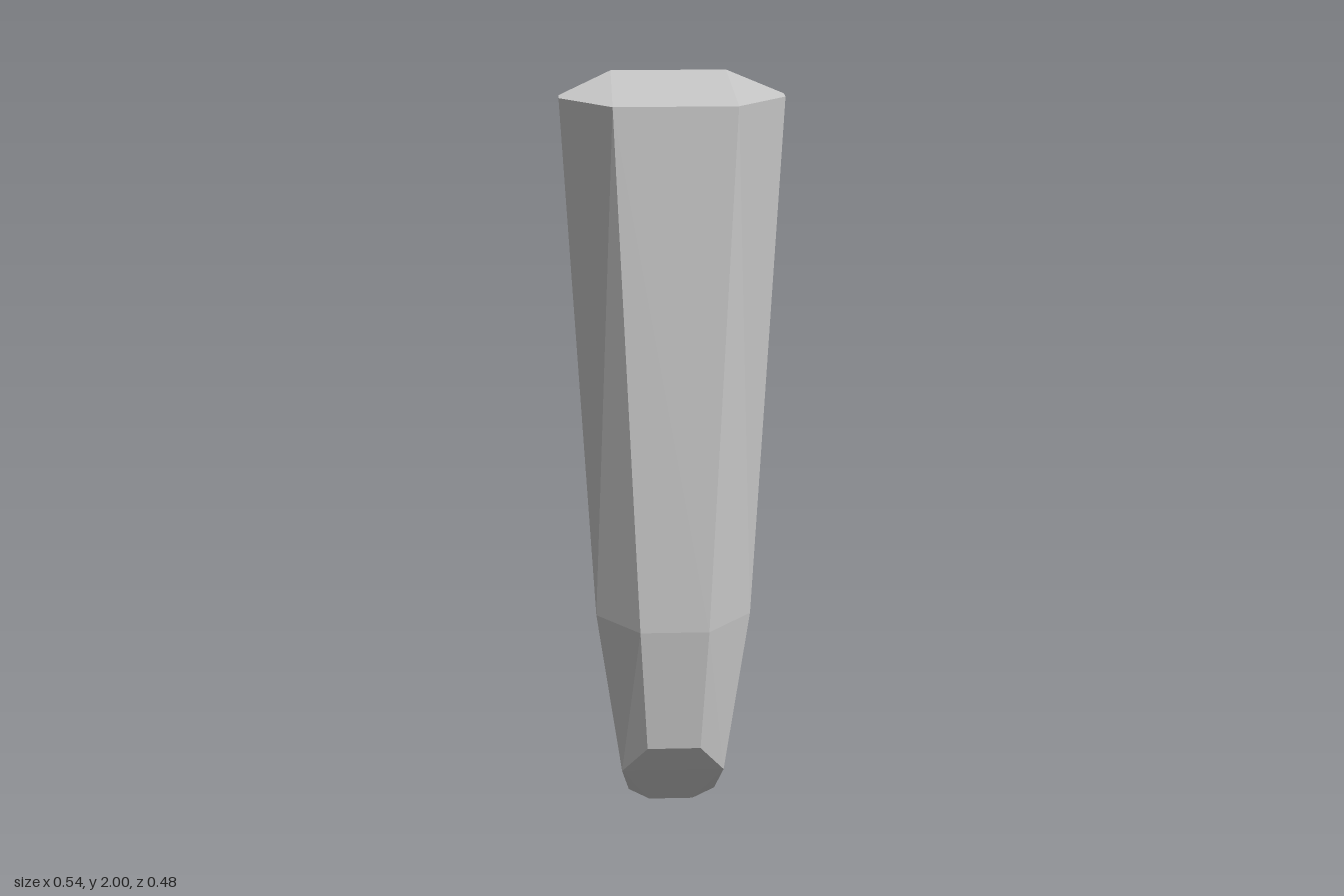
import * as THREE from 'three';
import { ConvexGeometry } from 'three/addons/geometries/ConvexGeometry.js';

export function createModel() {
  const group = new THREE.Group();
  group.name = 'crystalShard';

  // Corners of one half as [x, y, z]; each is mirrored across x = 0
  const corners = [
    // top rim, slightly lower at the sides
    [0.145, 2.0, 0.24], [0.272, 1.98, 0.02], [0.272, 1.98, -0.02], [0.145, 2.0, -0.24],
    // girdle where the taper steepens
    [0.088, 0.65, 0.205], [0.2, 0.65, 0.092], [0.2, 0.65, -0.09], [0.09, 0.65, -0.19],
    // slanted cut across the front of the tip
    [0.07, 0.285, 0.15], [0.137, 0.175, 0.07], [0.118, 0.06, -0.032], [0.06, 0, -0.08],
    // rounded back of the tip
    [0.143, 0.22, -0.065], [0.075, 0.25, -0.152], [0.066, 0.1, -0.122],
  ];
  const points = corners.flatMap(([x, y, z]) => [
    new THREE.Vector3(x, y, z),
    new THREE.Vector3(-x, y, z),
  ]);

  // Faceted body spanning all corners
  const body = new THREE.Mesh(
    new ConvexGeometry(points),
    new THREE.MeshStandardMaterial({ color: 0xcccccc, flatShading: true })
  );
  body.name = 'crystalBody';
  group.add(body);
  return group;
}
